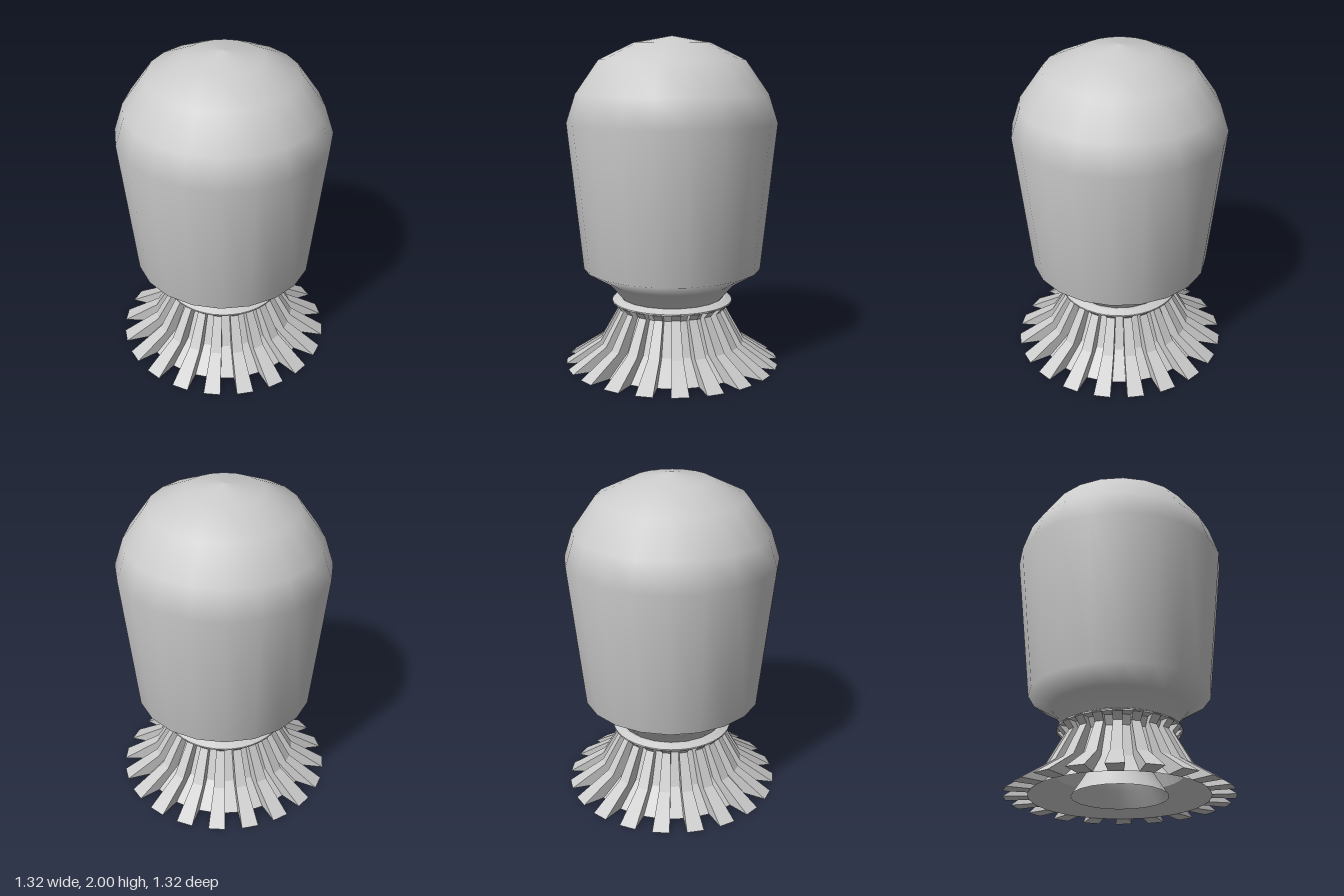
import * as THREE from 'three';

const SIDES = 20;
const v2 = (p) => p.map(([r, y]) => new THREE.Vector2(r, y));

function lathe(name, profile, sides, options = {}) {
  const material = new THREE.MeshStandardMaterial({ color: 0xcccccc, ...options });
  const mesh = new THREE.Mesh(new THREE.LatheGeometry(v2(profile), sides), material);
  mesh.name = name;
  return mesh;
}

// One bent bar: outer and inner profiles swept between two angles
function finGeometry(outer, inner, a0, a1) {
  const at = ([r, y], a) => [r * Math.sin(a), y, r * Math.cos(a)];
  const rings = outer.map((o, i) => [at(inner[i], a0), at(o, a0), at(o, a1), at(inner[i], a1)]);
  const pos = [];
  const quad = (a, b, c, d) => pos.push(...a, ...b, ...c, ...a, ...c, ...d);
  for (let i = 0; i < rings.length - 1; i++) {
    const lo = rings[i], hi = rings[i + 1];
    for (let k = 0; k < 4; k++) {
      const n = (k + 1) % 4;
      quad(lo[k], lo[n], hi[n], hi[k]);
    }
  }
  const [b0, b1, b2, b3] = rings[0];
  quad(b3, b2, b1, b0);
  quad(...rings[rings.length - 1]);
  const geometry = new THREE.BufferGeometry();
  geometry.setAttribute('position', new THREE.Float32BufferAttribute(pos, 3));
  geometry.computeVertexNormals();
  return geometry;
}

export function createModel() {
  const model = new THREE.Group();
  model.name = 'finnedCapsule';

  // Domed capsule body tapering to a neck
  model.add(lathe('body', [
    [0, 0.4], [0.31, 0.4], [0.32, 0.42], [0.41, 0.52], [0.543, 0.6], [0.635, 1.49],
    [0.58, 1.66], [0.44, 1.86], [0.23, 1.96], [0, 2],
  ], SIDES));

  // Lip above the fins
  model.add(lathe('collar', [
    [0.29, 0.38], [0.37, 0.385], [0.37, 0.395], [0.33, 0.415], [0.29, 0.415],
  ], SIDES * 2, { flatShading: true }));

  // Thin flared skirt behind the fins
  const inner = [[0.52, 0], [0.37, 0.13], [0.29, 0.33], [0.32, 0.388]];
  model.add(lathe('skirt', inner, SIDES * 2, { flatShading: true, side: THREE.DoubleSide }));

  // Ring of bent fins, each half a body segment wide
  const outer = [[0.66, 0], [0.445, 0.14], [0.33, 0.345], [0.372, 0.39]];
  const step = (Math.PI * 2) / SIDES;
  const geometry = finGeometry(outer, inner, -step / 2, 0);
  const material = new THREE.MeshStandardMaterial({ color: 0xcccccc, flatShading: true });
  const fins = new THREE.Group();
  fins.name = 'fins';
  for (let i = 0; i < SIDES; i++) {
    const fin = new THREE.Mesh(geometry, material);
    fin.name = 'fin';
    fin.rotation.y = i * step;
    fins.add(fin);
  }
  model.add(fins);

  // Open nozzle under the body
  model.add(lathe('nozzle', [
    [0.28, 0], [0.22, 0.09], [0.14, 0.23], [0.12, 0.4],
  ], SIDES, { side: THREE.DoubleSide }));

  return model;
}
